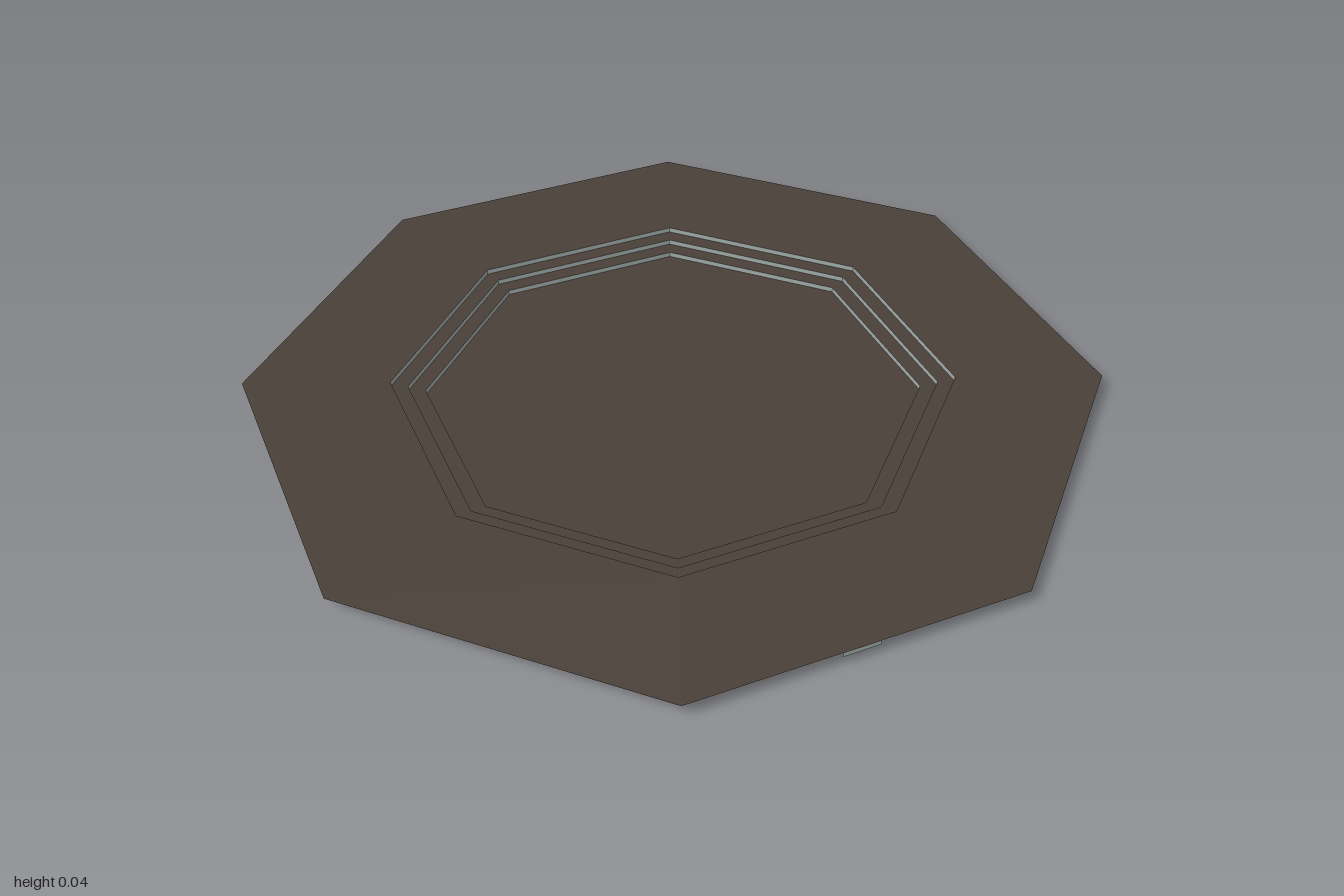
import * as THREE from 'three';

// Octagonal platform with a shallow recess of three steps
const STEP = 0.0133;
const LEVELS = 3;
const APOTHEMS = [1, 0.657, 0.617, 0.577];
const toRadius = (apothem) => apothem / Math.cos(Math.PI / 8);

export function createModel() {
  const group = new THREE.Group();
  const flat = { flatShading: true, side: THREE.DoubleSide };
  const brown = new THREE.MeshStandardMaterial({ color: 0x4a4039, ...flat });
  const grey = new THREE.MeshStandardMaterial({ color: 0xa0a9a9, ...flat });
  brown.name = 'darkBrown';
  grey.name = 'paleGrey';

  const add = (name, geometry, material, y) => {
    const mesh = new THREE.Mesh(geometry, material);
    mesh.name = name;
    mesh.position.y = y;
    group.add(mesh);
    return mesh;
  };

  for (let i = 0; i < LEVELS; i++) {
    const y = (LEVELS - i) * STEP;
    const outer = toRadius(APOTHEMS[i]);
    const inner = toRadius(APOTHEMS[i + 1]);

    // Flat octagonal rim or tread
    const ring = new THREE.RingGeometry(inner, outer, 8, 1, Math.PI / 8);
    ring.rotateX(-Math.PI / 2);
    add(i === 0 ? 'rim' : 'tread' + i, ring, brown, y);

    // Upright band down to the next level
    const band = new THREE.CylinderGeometry(inner, inner, STEP, 8, 1, true, Math.PI / 8);
    add('riser' + (i + 1), band, grey, y - STEP / 2);
  }

  // Sunken floor
  const floor = new THREE.CircleGeometry(toRadius(APOTHEMS[LEVELS]), 8, Math.PI / 8);
  floor.rotateX(-Math.PI / 2);
  add('floor', floor, brown, 0);

  // Small tab hanging below the middle of the front edge
  const tab = add('frontTab', new THREE.PlaneGeometry(0.09, STEP), grey, 2.5 * STEP);
  tab.position.z = 0.999;

  return group;
}
